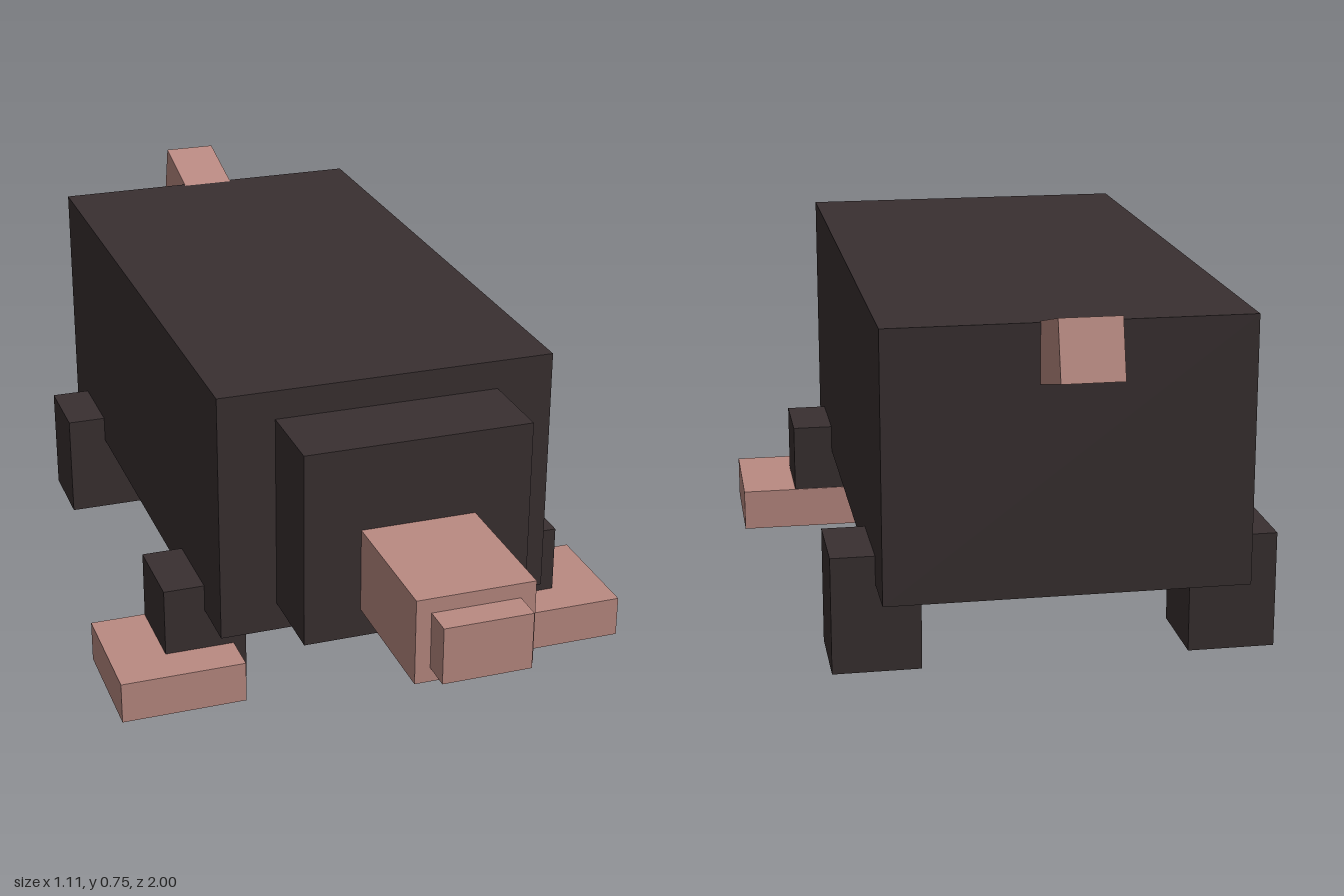
import * as THREE from 'three';

export function createModel() {
  const model = new THREE.Group();
  model.name = 'mole';

  const fur = new THREE.MeshStandardMaterial({ name: 'dark fur', color: 0x393031 });
  const skin = new THREE.MeshStandardMaterial({ name: 'pink skin', color: 0xba8a82 });

  // Box from its minimum and maximum corners
  function box(name, material, min, max) {
    const size = max.map((v, i) => v - min[i]);
    const mesh = new THREE.Mesh(new THREE.BoxGeometry(...size), material);
    mesh.position.set(...max.map((v, i) => (v + min[i]) / 2));
    mesh.name = name;
    model.add(mesh);
    return mesh;
  }

  // The same box on the left (+x) and right (-x) sides
  function pair(name, material, [x0, y0, z0], [x1, y1, z1]) {
    box(name + 'Left', material, [x0, y0, z0], [x1, y1, z1]);
    box(name + 'Right', material, [-x1, y0, z0], [-x0, y1, z1]);
  }

  // Body, head and stepped snout
  box('body', fur, [-0.352, 0.177, -0.815], [0.352, 0.705, 0.475]);
  box('head', fur, [-0.234, 0.237, 0.475], [0.234, 0.645, 0.65]);
  box('snout', skin, [-0.118, 0.296, 0.65], [0.118, 0.47, 0.94]);
  box('noseTip', skin, [-0.088, 0.325, 0.94], [0.088, 0.44, 1.0]);

  // Legs; the front pair sits just inside the sole and heel of the digging feet
  pair('frontLeg', fur, [0.264, 0.002, 0.182], [0.438, 0.235, 0.355]);
  pair('backLeg', fur, [0.264, 0, -0.698], [0.438, 0.235, -0.523]);
  pair('frontFoot', skin, [0.291, 0, 0.18], [0.555, 0.089, 0.443]);

  // Tail, tilted upwards
  const tail = box('tail', skin, [-0.058, 0.606, -0.989], [0.058, 0.721, -0.754]);
  tail.rotation.x = THREE.MathUtils.degToRad(15);

  return model;
}
